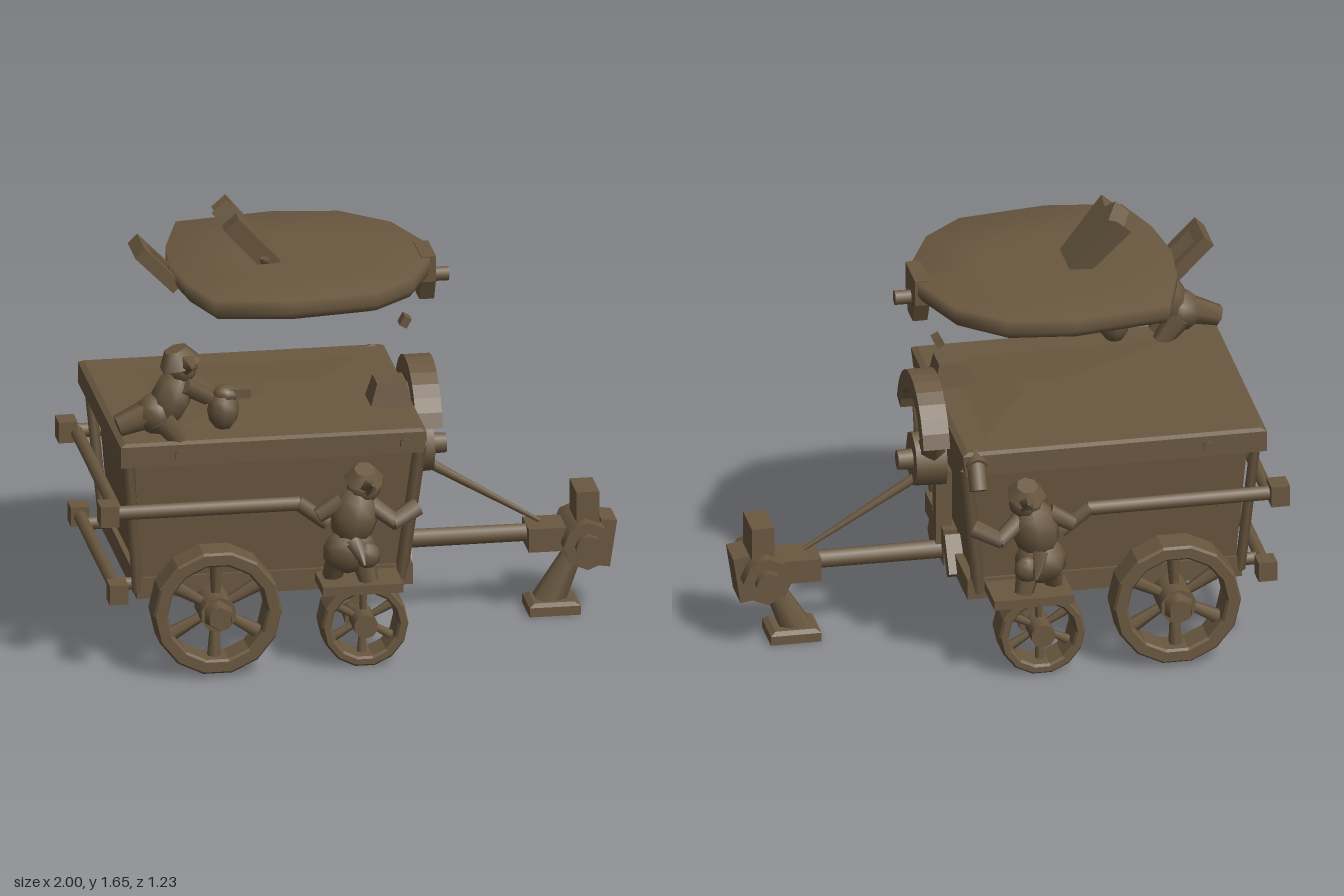
import * as THREE from 'three';

const brown = new THREE.MeshStandardMaterial({ color: 0x6a5840 });
brown.name = 'weathered brown';
const teal = new THREE.MeshStandardMaterial({ color: 0x8ab5a8 });
teal.name = 'pale teal';

const V = (p) => new THREE.Vector3(...p);

export function createModel() {
  const root = new THREE.Group();
  root.name = 'cart';

  const add = (name, geo, pos = [0, 0, 0], rot = [0, 0, 0], parent = root, mat = brown) => {
    const m = new THREE.Mesh(geo, mat);
    m.name = name;
    m.position.set(...pos);
    m.rotation.set(...rot);
    parent.add(m);
    return m;
  };
  const box = (name, size, pos, rot, parent) => add(name, new THREE.BoxGeometry(...size), pos, rot, parent);

  // Tapered rod between two points
  const rod = (name, a, b, r0, r1 = r0, parent = root, seg = 8) => {
    const d = V(b).sub(V(a));
    const m = add(name, new THREE.CylinderGeometry(r1, r0, d.length(), seg), [0, 0, 0], [0, 0, 0], parent);
    m.position.copy(V(a)).addScaledVector(d, 0.5);
    m.quaternion.setFromUnitVectors(new THREE.Vector3(0, 1, 0), d.normalize());
    return m;
  };
  const blob = (name, pos, size, parent = root, tilt = 0) => {
    const m = add(name, new THREE.SphereGeometry(1, 8, 6), pos, [0, 0, tilt], parent);
    m.scale.set(...size);
  };

  // Closed skin over a stack of rings (each ring runs from +x towards -z)
  const loft = (rings, flat) => {
    const n = rings[0].length, idx = [];
    for (let i = 0; i < rings.length - 1; i++)
      for (let j = 0; j < n; j++) {
        const k = (j + 1) % n, a = i * n + j, b = i * n + k;
        idx.push(a, b, b + n, a, b + n, a + n);
      }
    const top = (rings.length - 1) * n;
    for (let j = 1; j < n - 1; j++) idx.push(0, j + 1, j, top, top + j, top + j + 1);
    let g = new THREE.BufferGeometry();
    g.setAttribute('position', new THREE.Float32BufferAttribute(rings.flat(2), 3));
    g.setIndex(idx);
    if (flat) g = g.toNonIndexed();
    g.computeVertexNormals();
    return g;
  };
  const rect = (y, x0, x1, z) => [[x1, y, z], [x1, y, -z], [x0, y, -z], [x0, y, z]];

  // Tapered tub, rim and shallow lid
  add('tub', loft([rect(0.28, -0.82, 0.15, 0.37), rect(0.83, -0.86, 0.18, 0.42)], true));
  add('rim', loft([rect(0.82, -0.92, 0.21, 0.485), rect(0.9, -0.92, 0.22, 0.485), rect(0.91, -0.9, 0.2, 0.47)], true));
  add('lid', loft([rect(0.9, -0.89, 0.19, 0.46), rect(0.935, -0.3, -0.1, 0.05)], true));
  box('lowerFrame', [1.03, 0.08, 0.78], [-0.33, 0.315, 0]);
  for (const s of [1, -1]) {
    rod('rearPost', [-0.84, 0.3, 0.38 * s], [-0.885, 0.83, 0.44 * s], 0.02, 0.02, root, 4);
    rod('frontPost', [0.14, 0.3, 0.38 * s], [0.2, 0.83, 0.45 * s], 0.025, 0.025, root, 4);
    for (const x of [-0.7, 0.14]) rod('rimStud', [x, 0.86, 0.47 * s], [x, 0.86, 0.5 * s], 0.022, 0.022, root, 6);
  }
  add('seatBlock', loft([rect(0.9, 0.05, 0.21, 0.07), rect(1.0, 0.08, 0.19, 0.055)], true), [0, 0, 0.16]);
  rod('cornerSpout', [0.17, 0.88, -0.44], [0.17, 0.86, -0.5], 0.04);
  rod('cornerSpoutTip', [0.17, 0.87, -0.48], [0.17, 0.78, -0.53], 0.035);

  // Side rails and rear bars with square end caps
  for (const s of [1, -1]) {
    const z = 0.465 * s;
    rod('sideRail', [-0.95, 0.64, z], [-0.25, 0.64, z], 0.028);
    rod('railBend', [-0.26, 0.645, z], [-0.15, 0.56, z], 0.028);
    box('railCap', [0.07, 0.08, 0.09], [-0.965, 0.645, 0.475 * s]);
    box('rearCap', [0.07, 0.075, 0.08], [-0.925, 0.325, 0.44 * s]);
    rod('rearBracket', [-0.925, 0.32, 0.34 * s], [-0.8, 0.32, 0.34 * s], 0.025);
  }
  rod('rearLowerBar', [-0.925, 0.325, -0.42], [-0.925, 0.325, 0.42], 0.025);
  rod('rearUpperBar', [-0.93, 0.64, -0.46], [-0.93, 0.64, 0.46], 0.025);

  // Spoked wheels
  const wheel = (name, x, y, z, r, depth, s) => {
    const g = new THREE.Group();
    g.name = name;
    g.position.set(x, y, z * s);
    root.add(g);
    const ring = new THREE.Shape().absarc(0, 0, r, 0, Math.PI * 2);
    ring.holes.push(new THREE.Path().absarc(0, 0, r * 0.77, 0, Math.PI * 2, true));
    add('rim', new THREE.ExtrudeGeometry(ring, {
      depth: depth - 0.02, bevelThickness: 0.01, bevelSize: 0.008, bevelOffset: -0.008, bevelSegments: 1, curveSegments: 7,
    }), [0, 0, 0.01 - depth / 2], [0, 0, 0], g);
    for (let i = 0; i < 6; i++) {
      const a = (i * Math.PI) / 3 + 0.5;
      const p = (q) => [Math.cos(a) * r * q, Math.sin(a) * r * q, 0];
      rod('spoke', p(0.15), p(0.82), r * 0.07, r * 0.12, g, 6);
    }
    rod('hub', [0, 0, -depth * 0.6], [0, 0, depth * 0.6], r * 0.28, r * 0.28, g, 10);
  };
  for (const s of [1, -1]) {
    wheel('rearWheel', -0.57, 0.26, 0.495, 0.24, 0.13, s);
    wheel('frontWheel', s > 0 ? -0.015 : -0.07, 0.17, 0.455, 0.162, 0.14, s);
    rod('rearHubCap', [-0.57, 0.26, 0.55 * s], [-0.57, 0.26, 0.615 * s], 0.065, 0.045, root, 6);
    rod('frontHubCap', [-0.04, 0.17, 0.33 * s], [-0.04, 0.17, 0.42 * s], 0.035, 0.04, root, 6);
  }
  rod('rearAxle', [-0.57, 0.26, -0.55], [-0.57, 0.26, 0.55], 0.03);
  rod('frontAxle', [-0.04, 0.26, -0.46], [-0.04, 0.26, 0.46], 0.028);

  // Footboards with standing figures
  for (const s of [1, -1]) {
    const f = new THREE.Group();
    f.name = 'standingFigure';
    root.add(f);
    const z = 0.49 * s;
    box('footboard', [0.3, 0.035, 0.21], [-0.03, 0.325, 0.465 * s], [0, 0, 0], f);
    blob('hips', [-0.07, 0.46, z], [0.1, 0.09, 0.075], f, 0.3);
    blob('torso', [-0.05, 0.59, z], [0.09, 0.12, 0.08], f, -0.2);
    blob('head', [-0.015, 0.7, z], [0.065, 0.065, 0.06], f);
    rod('cap', [-0.015, 0.73, z], [-0.015, 0.775, 0.51 * s], 0.075, 0.04, f, 7);
    rod('capPeak', [-0.01, 0.71, 0.52 * s], [0, 0.745, 0.61 * s], 0.04, 0.004, f, 5);
    rod('rearArm', [-0.1, 0.65, z], [-0.19, 0.6, 0.5 * s], 0.035, 0.028, f, 6);
    rod('frontArm', [0.0, 0.64, z], [0.1, 0.57, 0.54 * s], 0.035, 0.03, f, 6);
    rod('forearm', [0.08, 0.57, 0.54 * s], [0.18, 0.61, 0.49 * s], 0.032, 0.038, f, 6);
    rod('rearLeg', [-0.1, 0.46, z], [-0.13, 0.34, 0.45 * s], 0.05, 0.035, f, 6);
    rod('frontLeg', [-0.03, 0.46, z], [0.0, 0.34, 0.52 * s], 0.05, 0.035, f, 6);
    blob('knee', [-0.01, 0.45, 0.54 * s], [0.05, 0.05, 0.035], f);
    rod('coatTail', [-0.06, 0.5, 0.53 * s], [-0.03, 0.43, 0.6 * s], 0.04, 0.006, f, 5);
  }

  // Crouching driver with a small companion on the lid
  const d = new THREE.Group();
  d.name = 'driver';
  root.add(d);
  blob('hips', [-0.77, 1.0, 0.4], [0.085, 0.08, 0.075], d);
  blob('torso', [-0.72, 1.06, 0.4], [0.075, 0.12, 0.08], d, -0.35);
  blob('head', [-0.68, 1.17, 0.41], [0.055, 0.055, 0.055], d);
  rod('cap', [-0.685, 1.19, 0.41], [-0.705, 1.25, 0.41], 0.085, 0.045, d, 6);
  rod('capPeak', [-0.67, 1.2, 0.44], [-0.66, 1.21, 0.52], 0.05, 0.005, d, 5);
  rod('coatTail', [-0.78, 1.01, 0.4], [-0.92, 0.96, 0.41], 0.06, 0.04, d, 6);
  rod('legLeft', [-0.76, 0.99, 0.44], [-0.69, 0.9, 0.44], 0.05, 0.035, d, 6);
  rod('legRight', [-0.76, 0.99, 0.36], [-0.69, 0.9, 0.35], 0.05, 0.035, d, 6);
  rod('armLeft', [-0.68, 1.12, 0.45], [-0.58, 1.05, 0.4], 0.035, 0.03, d, 6);
  rod('armRight', [-0.68, 1.12, 0.36], [-0.58, 1.05, 0.34], 0.035, 0.03, d, 6);
  blob('companionBody', [-0.52, 0.99, 0.37], [0.06, 0.08, 0.06], d);
  blob('companionHead', [-0.51, 1.05, 0.37], [0.05, 0.035, 0.045], d);
  box('companionPeak', [0.09, 0.035, 0.06], [-0.465, 1.055, 0.37], [0, 0, 0], d);

  // Front arch, disc and horned emblem
  const arch = new THREE.Shape().absarc(0, 0, 0.27, 0.28, Math.PI - 0.28);
  arch.absarc(0, 0, 0.2, Math.PI - 0.28, 0.28, true);
  const archMesh = add('frontArch', new THREE.ExtrudeGeometry(arch, { depth: 0.1, bevelEnabled: false, curveSegments: 6 }),
    [0.22, 0.75, 0], [0, Math.PI / 2, 0]);
  archMesh.scale.x = 0.95;
  rod('frontDisc', [0.2, 0.68, 0], [0.315, 0.68, 0], 0.11, 0.105, root, 8);
  rod('discHub', [0.3, 0.68, 0], [0.37, 0.68, 0], 0.042, 0.038);
  rod('hornRight', [0.25, 0.75, -0.06], [0.25, 0.9, -0.21], 0.055, 0.012, root, 6);
  rod('hornLeft', [0.25, 0.72, 0.07], [0.25, 0.77, 0.25], 0.045, 0.012, root, 6);
  box('discStem', [0.06, 0.3, 0.06], [0.2, 0.48, 0]);

  // Drawbar, brace and hitch with foot
  box('drawbarSocket', [0.09, 0.14, 0.14], [0.165, 0.34, 0]);
  for (const s of [1, -1]) box('socketFin', [0.06, 0.15, 0.05], [0.185, 0.34, 0.14 * s], [-0.6 * s, 0, 0]);
  rod('drawbar', [0.1, 0.31, -0.01], [0.82, 0.31, -0.01], 0.037, 0.034);
  rod('brace', [0.28, 0.62, -0.005], [0.72, 0.355, -0.005], 0.02, 0.008);
  box('hitchSleeve', [0.17, 0.09, 0.15], [0.755, 0.3, -0.01]);
  rod('hitchDrum', [0.88, 0.29, -0.13], [0.88, 0.29, 0.13], 0.092, 0.092, root, 8);
  rod('hitchPin', [0.88, 0.29, -0.165], [0.88, 0.29, 0.165], 0.05, 0.05, root, 8);
  box('hitchPillar', [0.085, 0.15, 0.16], [0.888, 0.41, 0]);
  box('hitchCheek', [0.06, 0.18, 0.14], [0.955, 0.28, 0], [0, 0, -0.15]);
  rod('hitchLeg', [0.84, 0.22, 0], [0.75, 0.04, 0], 0.04, 0.065, root, 6);
  add('hitchFoot', loft([rect(0.01, 0.67, 0.86, 0.085), rect(0.045, 0.67, 0.86, 0.085), rect(0.058, 0.69, 0.84, 0.07)], true));

  // Floating canopy: one outline, scaled into a recessed slab
  const outline = [[0.32, 0.04], [0.32, -0.06], [0.22, -0.33], [0.05, -0.48], [-0.2, -0.515], [-0.56, -0.46],
    [-0.64, -0.2], [-0.66, 0], [-0.63, 0.22], [-0.56, 0.43], [-0.28, 0.475], [0.05, 0.43], [0.2, 0.3]];
  const profile = [[0.05, 1.4], [0.75, 1.385], [0.86, 1.34], [0.97, 1.36], [1, 1.385], [1, 1.435], [0.5, 1.44], [0.05, 1.442]];
  add('canopy', loft(profile.map(([q, y]) => outline.map(([x, z]) => [-0.17 + (x + 0.17) * q, y, z * q]))));
  add('canopyPane', new THREE.BoxGeometry(0.2, 0.008, 0.36), [-0.36, 1.381, -0.19], [0, -Math.PI / 4, 0], root, teal);

  // Canopy front tab and pin
  const tab = new THREE.Shape([[-0.09, 0.1], [-0.085, 0], [-0.045, -0.08], [0.045, -0.08], [0.085, 0], [0.09, 0.1]]
    .map((p) => new THREE.Vector2(...p)));
  add('canopyTab', new THREE.ExtrudeGeometry(tab, { depth: 0.055, bevelEnabled: false }), [0.265, 1.34, 0], [0, Math.PI / 2, 0]);
  rod('tabPin', [0.3, 1.34, 0], [0.38, 1.34, 0], 0.028);
  box('looseLink', [0.03, 0.04, 0.05], [0.22, 1.16, -0.015], [0, 0, -0.5]);

  // Tilted loop handle at the rear of the canopy
  const loop = new THREE.Shape([[-0.09, 0], [0.09, 0], [0.09, 0.2], [-0.09, 0.2]].map((p) => new THREE.Vector2(...p)));
  loop.holes.push(new THREE.Path([[-0.05, 0.03], [-0.05, 0.155], [0.05, 0.155], [0.05, 0.03]].map((p) => new THREE.Vector2(...p))));
  const handle = new THREE.Group();
  handle.name = 'canopyHandle';
  handle.position.set(-0.64, 1.365, -0.01);
  handle.rotation.z = 0.78;
  root.add(handle);
  add('handleLoop', new THREE.ExtrudeGeometry(loop, { depth: 0.05, bevelEnabled: false }), [-0.025, 0, 0], [0, Math.PI / 2, 0], handle);

  // Jagged fin leaning back on the canopy
  const fin = new THREE.Shape([[-0.08, 0], [0.09, 0], [0.14, 0.26], [0.07, 0.23], [0.01, 0.29], [-0.03, 0.24], [-0.12, 0.25]]
    .map((p) => new THREE.Vector2(...p)));
  const finGroup = new THREE.Group();
  finGroup.name = 'canopyFin';
  finGroup.position.set(-0.285, 1.42, -0.01);
  finGroup.rotation.z = 0.72;
  root.add(finGroup);
  add('fin', new THREE.ExtrudeGeometry(fin, { depth: 0.07, bevelEnabled: false }), [-0.03, 0, 0], [0, Math.PI / 2, 0], finGroup);
  rod('finSpur', [0, 0.03, 0.05], [0, 0.08, 0.13], 0.03, 0.005, finGroup, 5);

  return root;
}
